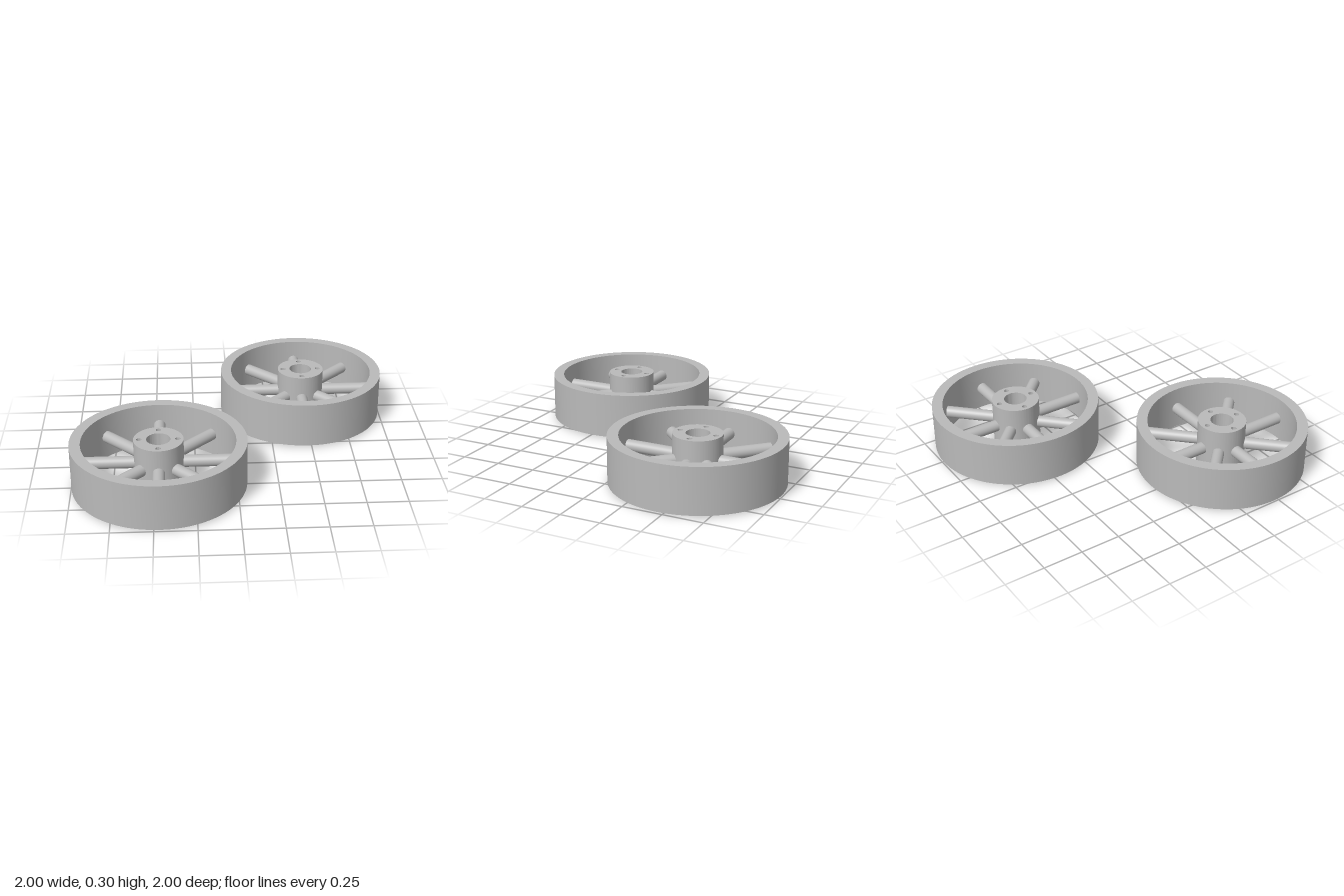
import * as THREE from 'three';
import { toCreasedNormals } from 'three/addons/utils/BufferGeometryUtils.js';

const metal = new THREE.MeshStandardMaterial({ color: 0xbababa });
metal.name = 'grey metal';

const RIM_OUTER = 0.53, RIM_INNER = 0.463;
const HUB_RADIUS = 0.15, BORE_RADIUS = 0.072;
const BOLT_CIRCLE = 0.115, BOLT_RADIUS = 0.016;
const SPOKE_RADIUS = 0.037, MID_Y = 0.152;

// Upright disc with round through-holes, each given as [x, y, radius]
function drilledDisc(radius, holes, bottom, top) {
  const shape = new THREE.Shape().absarc(0, 0, radius, 0, Math.PI * 2);
  for (const [x, y, r] of holes) {
    shape.holes.push(new THREE.Path().absarc(x, y, r, 0, Math.PI * 2, true));
  }
  const geometry = new THREE.ExtrudeGeometry(shape, {
    depth: top - bottom, bevelEnabled: false, curveSegments: 72,
  });
  geometry.rotateX(-Math.PI / 2).translate(0, bottom, 0);
  return toCreasedNormals(geometry, 0.7);
}

function part(name, geometry) {
  const mesh = new THREE.Mesh(geometry, metal);
  mesh.name = name;
  return mesh;
}

function createWheel(name, x, z) {
  const wheel = new THREE.Group();
  wheel.name = name;
  wheel.position.set(x, 0, z);

  // Broad outer rim
  wheel.add(part('rim', drilledDisc(RIM_OUTER, [[0, 0, RIM_INNER]], 0.01, 0.296)));

  // Hub with a central bore and four bolt holes
  const holes = [[0, 0, BORE_RADIUS]];
  for (let i = 0; i < 4; i++) {
    const a = i * Math.PI / 2;
    holes.push([Math.cos(a) * BOLT_CIRCLE, Math.sin(a) * BOLT_CIRCLE, BOLT_RADIUS]);
  }
  wheel.add(part('hub', drilledDisc(HUB_RADIUS, holes, 0, 0.304)));

  // Eight round spokes, their ends sunk into hub and rim
  const start = HUB_RADIUS - 0.008, end = RIM_INNER + 0.007;
  const spoke = new THREE.CylinderGeometry(SPOKE_RADIUS, SPOKE_RADIUS, end - start, 32);
  spoke.rotateZ(-Math.PI / 2).translate((start + end) / 2, MID_Y, 0);
  for (let i = 0; i < 8; i++) {
    const mesh = part('spoke', spoke);
    mesh.rotation.y = i * Math.PI / 4;
    wheel.add(mesh);
  }
  return wheel;
}

export function createModel() {
  const model = new THREE.Group();
  model.name = 'pair of spoked wheels';
  model.add(createWheel('frontWheel', -0.47, 0.468));
  model.add(createWheel('backWheel', 0.47, -0.468));
  return model;
}
